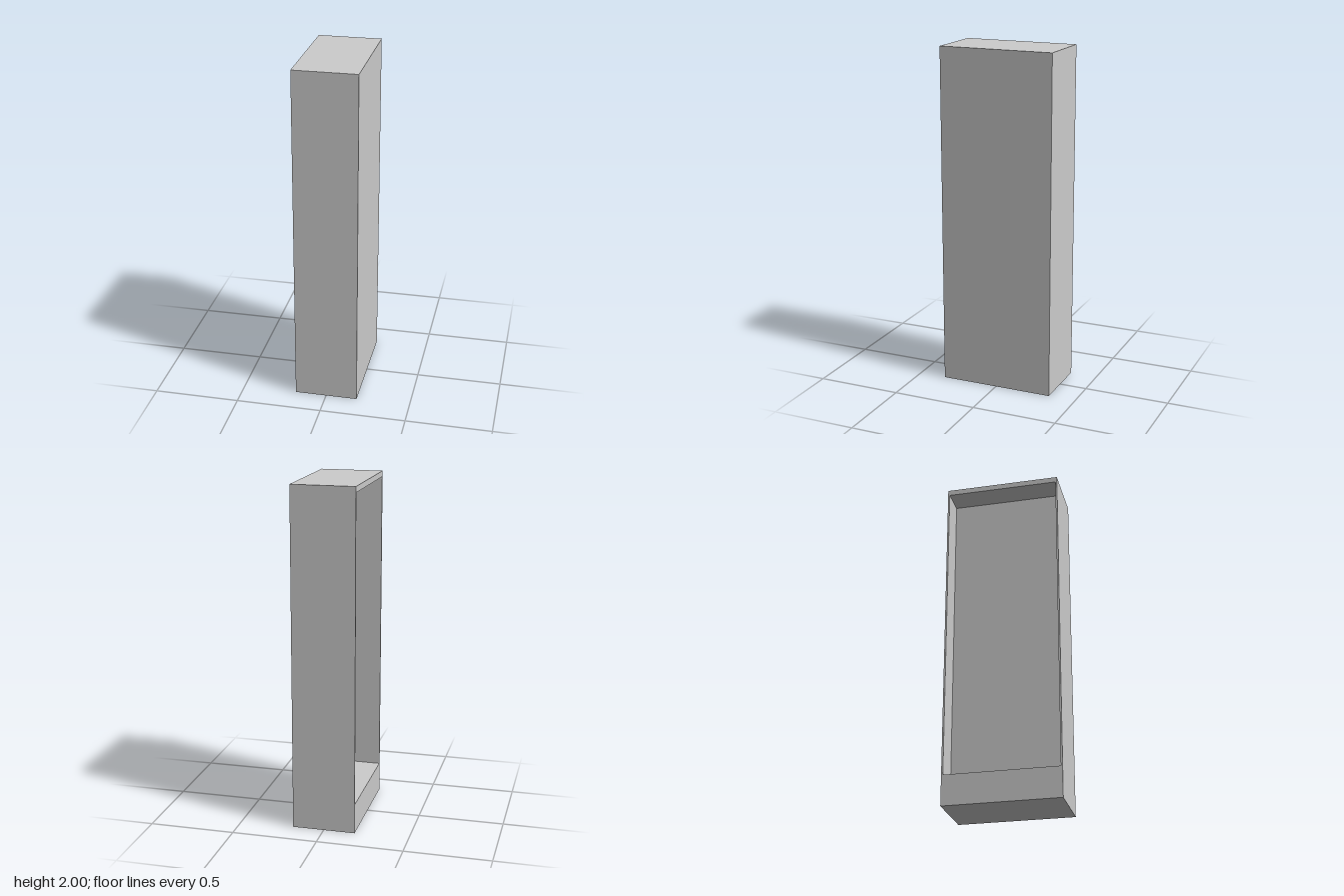
import * as THREE from 'three';

const W = 0.368, H = 2, D = 0.676;                 // outer size
const WALL = 0.01, TOP = 0.033, PLINTH = 0.177;    // frame around the opening
const DEPTH = 0.155;                               // how far the recess goes in

// Box without its -x face; inward = true turns it into a cavity
function openBox(w, h, d, inward) {
  const geo = new THREE.BoxGeometry(w, h, d);
  const index = Array.from(geo.index.array);
  index.splice(6, 6);
  if (inward) index.reverse();
  geo.setIndex(index);
  geo.clearGroups();
  geo.computeVertexNormals();
  return geo;
}

function rectangle(path, x0, y0, x1, y1) {
  path.moveTo(x0, y0);
  path.lineTo(x1, y0);
  path.lineTo(x1, y1);
  path.lineTo(x0, y1);
  path.closePath();
  return path;
}

export function createModel() {
  const group = new THREE.Group();
  group.name = 'cabinet';
  const material = new THREE.MeshStandardMaterial({ color: 0xcccccc });
  const add = (name, geo, x, y) => {
    const mesh = new THREE.Mesh(geo, material);
    mesh.name = name;
    mesh.position.set(x, y, 0);
    group.add(mesh);
    return mesh;
  };

  // Outer body, open on the -x side
  add('body', openBox(W, H, D, false), 0, H / 2);

  // Rim around the opening, with tall plinth and thin walls
  const rim = rectangle(new THREE.Shape(), -D / 2, 0, D / 2, H);
  rim.holes.push(rectangle(new THREE.Path(), -D / 2 + WALL, PLINTH, D / 2 - WALL, H - TOP));
  add('openingRim', new THREE.ShapeGeometry(rim), -W / 2, 0).rotation.y = -Math.PI / 2;

  // Recessed compartment
  const h = H - TOP - PLINTH;
  add('recess', openBox(DEPTH, h, D - 2 * WALL, true), -W / 2 + DEPTH / 2, PLINTH + h / 2);

  return group;
}
